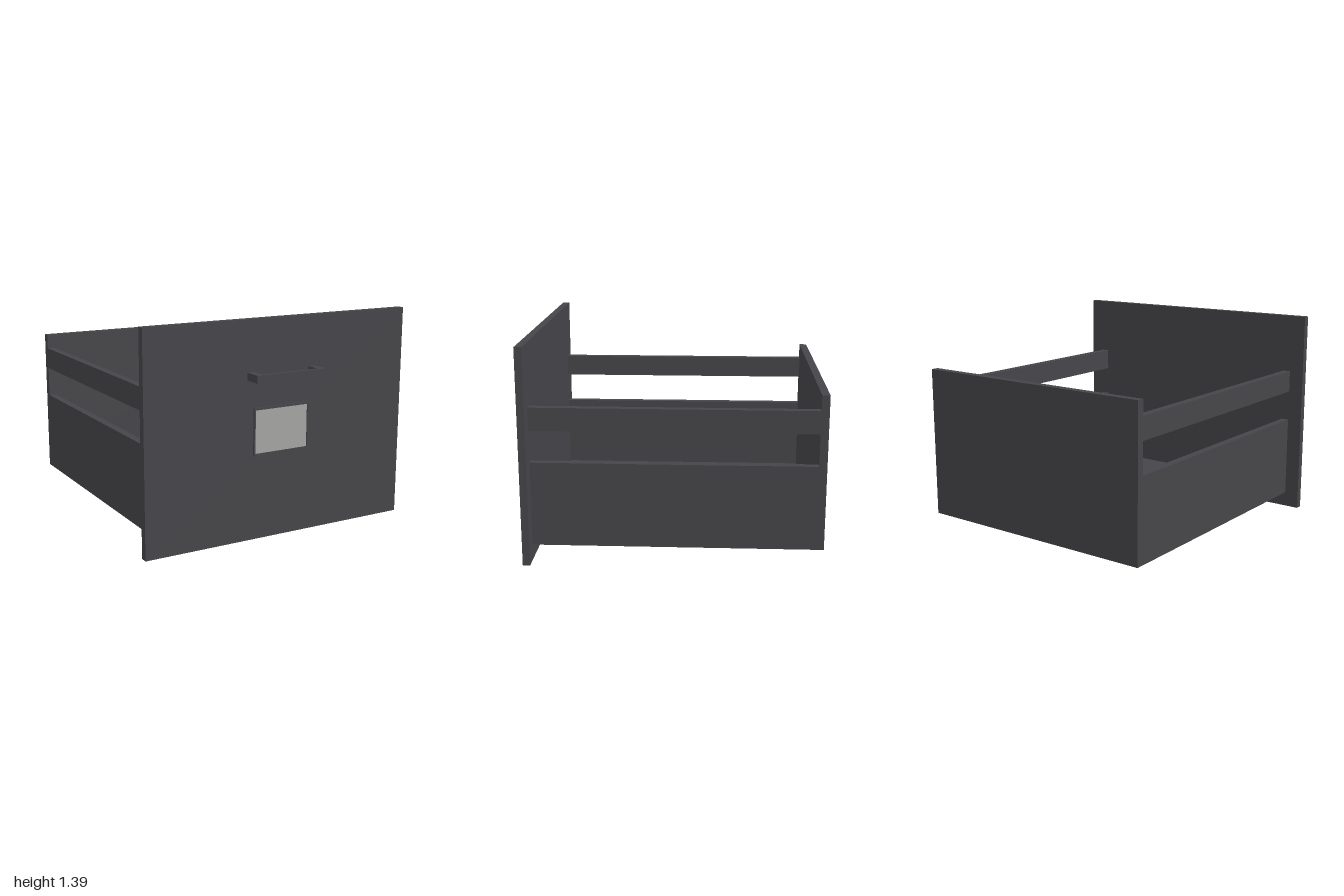
import * as THREE from 'three';

export function createModel() {
  const drawer = new THREE.Group();
  drawer.name = 'drawer';

  const charcoal = new THREE.MeshStandardMaterial({ color: 0x464549 });
  charcoal.name = 'charcoal';
  const paper = new THREE.MeshStandardMaterial({ color: 0xa5a5a4 });
  paper.name = 'paperGrey';

  // Box given by its extents along each axis
  function box(name, [x0, x1], [y0, y1], [z0, z1], material = charcoal) {
    const mesh = new THREE.Mesh(new THREE.BoxGeometry(x1 - x0, y1 - y0, z1 - z0), material);
    mesh.position.set((x0 + x1) / 2, (y0 + y1) / 2, (z0 + z1) / 2);
    mesh.name = name;
    drawer.add(mesh);
  }

  // Drawer body
  const inside = [-0.95, 0.838];
  box('frontPanel', [-0.94, 0.94], [0, 1.39], [0.838, 0.885]);
  box('backPanel', [-0.84, 0.84], [0.1, 1.095], [-1, -0.95]);
  box('floor', [-0.79, 0.79], [0.1, 0.15], inside);

  // Mirrored sides, rails, handle posts and label frame uprights
  for (const [side, s] of [['left', 1], ['right', -1]]) {
    const span = (a, b) => (s > 0 ? [a, b] : [-b, -a]);
    box(side + 'Side', span(0.79, 0.84), [0.1, 0.645], inside);
    box(side + 'Rail', span(0.79, 0.84), [0.85, 0.997], inside);
    box(side + 'HandlePost', span(0.198, 0.246), [1.02, 1.068], [0.885, 0.975]);
    box(side + 'LabelFrame', span(0.19, 0.2), [0.54, 0.845], [0.885, 0.896]);
  }

  // Handle grip
  box('handleGrip', [-0.246, 0.246], [1.02, 1.068], [0.975, 1]);

  // Label holder
  box('bottomLabelFrame', [-0.19, 0.19], [0.54, 0.555], [0.885, 0.896]);
  box('topLabelFrame', [-0.19, 0.19], [0.83, 0.845], [0.885, 0.896]);
  box('labelCard', [-0.19, 0.19], [0.555, 0.83], [0.885, 0.89], paper);

  return drawer;
}
